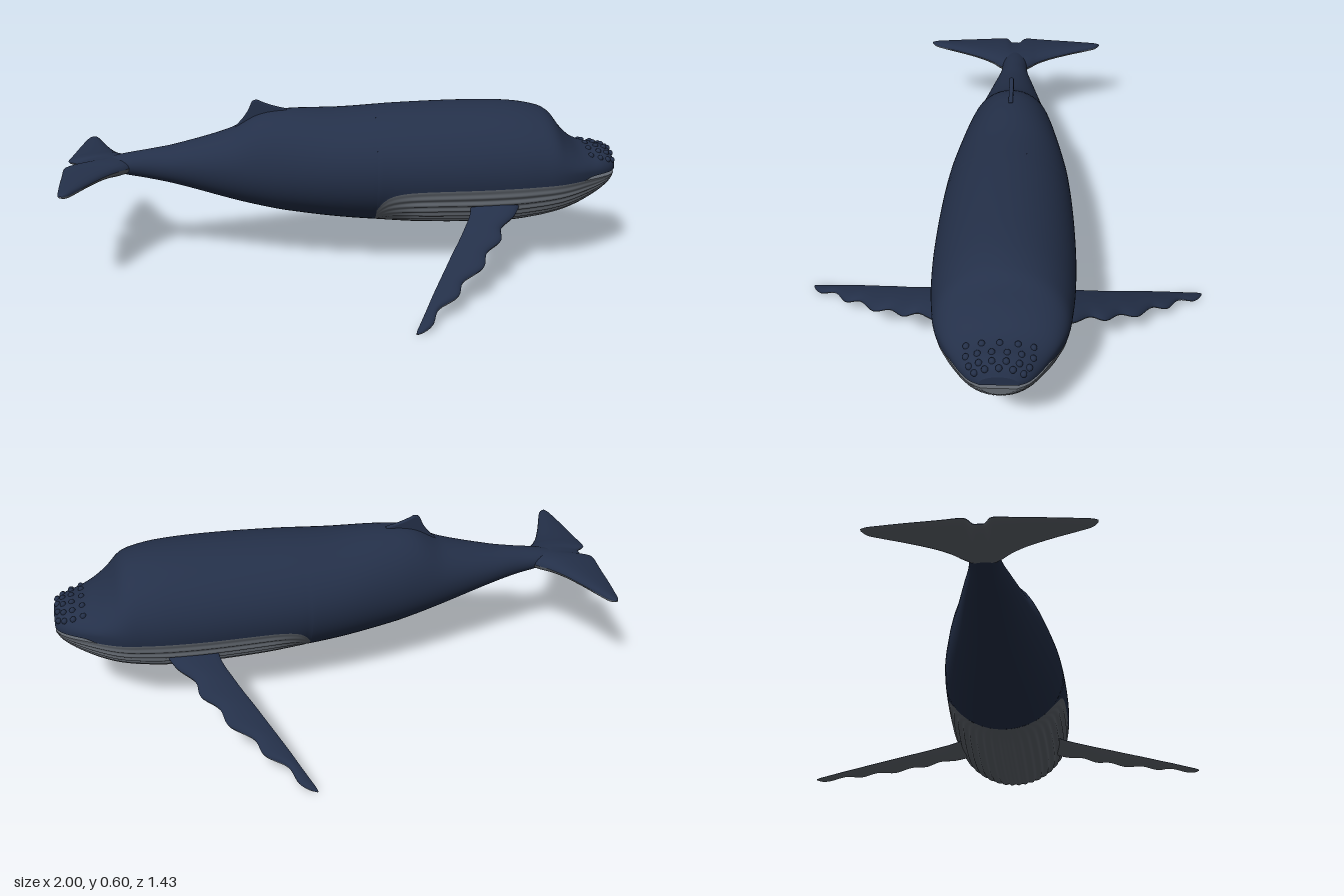
import * as THREE from 'three';

const navy = new THREE.MeshStandardMaterial({ color: 0x243049, side: THREE.DoubleSide });
navy.name = 'navy skin';
const grey = new THREE.MeshStandardMaterial({ color: 0x646a72, side: THREE.DoubleSide });
grey.name = 'pale grey skin';

// Smooth cubic lookup of column c in rows sorted by column 0
function curve(rows, c, x) {
  const n = rows.length;
  let i = 0;
  while (i < n - 2 && x > rows[i + 1][0]) i++;
  const slope = (k) => {
    const a = rows[Math.max(k - 1, 0)], b = rows[Math.min(k + 1, n - 1)];
    return (b[c] - a[c]) / (b[0] - a[0]);
  };
  const p = rows[i], q = rows[i + 1], h = q[0] - p[0];
  const t = Math.min(Math.max((x - p[0]) / h, 0), 1), t2 = t * t, t3 = t2 * t;
  return (2 * t3 - 3 * t2 + 1) * p[c] + (t3 - 2 * t2 + t) * h * slope(i)
    + (3 * t2 - 2 * t3) * q[c] + (t3 - t2) * h * slope(i + 1);
}

// Surface from a point rule over u, v in 0..1
function grid(nu, nv, rule, flip = false) {
  const pos = [], index = [];
  for (let i = 0; i <= nu; i++) {
    for (let j = 0; j <= nv; j++) pos.push(...rule(i / nu, j / nv));
  }
  for (let i = 0; i < nu; i++) {
    for (let j = 0; j < nv; j++) {
      const a = i * (nv + 1) + j, b = a + nv + 1;
      if (flip) index.push(a, b + 1, b, a, a + 1, b + 1);
      else index.push(a, b, b + 1, a, b + 1, a + 1);
    }
  }
  const g = new THREE.BufferGeometry();
  g.setAttribute('position', new THREE.Float32BufferAttribute(pos, 3));
  g.setIndex(index);
  g.computeVertexNormals();
  return g;
}

// Body stations: x, top, bottom, half width, height of widest point
const BODY = [
  [-0.95, 0.372, 0.362, 0.004, 0.367], [-0.87, 0.388, 0.355, 0.025, 0.37],
  [-0.8, 0.405, 0.335, 0.045, 0.37], [-0.7, 0.422, 0.315, 0.056, 0.37],
  [-0.6, 0.44, 0.293, 0.08, 0.37], [-0.4, 0.497, 0.235, 0.127, 0.37],
  [-0.3, 0.55, 0.21, 0.152, 0.37], [-0.2, 0.566, 0.19, 0.175, 0.37],
  [0, 0.568, 0.165, 0.212, 0.37], [0.2, 0.58, 0.151, 0.23, 0.37],
  [0.45, 0.588, 0.145, 0.239, 0.37], [0.62, 0.584, 0.149, 0.235, 0.37],
  [0.72, 0.566, 0.163, 0.225, 0.37], [0.76, 0.543, 0.172, 0.219, 0.37],
  [0.8, 0.492, 0.182, 0.207, 0.368], [0.85, 0.446, 0.2, 0.184, 0.365],
  [0.9, 0.426, 0.224, 0.154, 0.36], [0.95, 0.42, 0.255, 0.122, 0.357],
  [0.985, 0.405, 0.285, 0.09, 0.355], [1, 0.38, 0.305, 0.06, 0.353],
];
// Seam stations: x, lower edge of the upper skin, upper edge of the throat
const SEAM = [
  [0.12, 0.235, 0.235], [0.14, 0.273, 0.273], [0.17, 0.298, 0.298], [0.22, 0.312, 0.312],
  [0.3, 0.319, 0.319], [0.5, 0.325, 0.325], [0.86, 0.335, 0.335], [0.9, 0.345, 0.334], [1, 0.346, 0.332],
];

function bodyPoint(x, a, swell = 1) {
  const m = curve(BODY, 4, x), s = Math.sin(a);
  const h = s > 0 ? curve(BODY, 1, x) - m : m - curve(BODY, 2, x);
  return [x, m + h * s * swell, curve(BODY, 3, x) * Math.cos(a) * swell];
}

function seamAngle(x, column) {
  const m = curve(BODY, 4, x);
  return Math.asin(Math.max(-1, (curve(SEAM, column, x) - m) / (m - curve(BODY, 2, x))));
}

// Stations bunch up towards the snout
const headX = (u) => 0.12 + 0.88 * Math.sin(Math.min(u / 0.98, 1) * Math.PI / 2);
const closeNose = (u, p, column) => (u === 1 ? [1, curve(SEAM, column, 1), 0] : p);

// Thin blade; stations: span, leading x, trailing x, half thickness
function blade(name, stations, side, heightAt) {
  const group = new THREE.Group();
  group.name = name;
  const s0 = stations[0][0], s1 = stations[stations.length - 1][0];
  const skin = (up) => grid(60, 12, (u, v) => {
    const s = s0 + (s1 - s0) * u;
    const lead = curve(stations, 1, s), trail = curve(stations, 2, s);
    const c = (1 - Math.cos(v * Math.PI)) / 2;
    const t = curve(stations, 3, s) * Math.sqrt(c) * Math.sqrt(1 - c) * (0.6 + 0.8 * c) * 2;
    return [trail + (lead - trail) * c, heightAt(s) + up * t, side * s];
  }, up * side < 0);
  const top = new THREE.Mesh(skin(1), navy);
  top.name = name + 'Top';
  const under = new THREE.Mesh(skin(-1), grey);
  under.name = name + 'Underside';
  group.add(top, under);
  return group;
}

const FLIPPER = [
  [0.17, 0.64, 0.46, 0.02], [0.235, 0.605, 0.445, 0.018], [0.29, 0.55, 0.42, 0.016],
  [0.345, 0.54, 0.393, 0.015], [0.395, 0.485, 0.366, 0.014], [0.46, 0.462, 0.333, 0.013],
  [0.515, 0.388, 0.305, 0.012], [0.575, 0.362, 0.275, 0.011], [0.62, 0.295, 0.254, 0.009],
  [0.68, 0.268, 0.225, 0.008], [0.705, 0.24, 0.213, 0.006], [0.717, 0.215, 0.21, 0.002],
];
const FLUKE = [
  [0, -0.74, -0.965, 0.03], [0.018, -0.745, -0.966, 0.03], [0.035, -0.755, -0.995, 0.029],
  [0.06, -0.775, -1, 0.027], [0.09, -0.805, -0.997, 0.023], [0.14, -0.84, -0.992, 0.019],
  [0.22, -0.88, -0.985, 0.015], [0.3, -0.915, -0.976, 0.012], [0.34, -0.935, -0.97, 0.009],
  [0.356, -0.955, -0.963, 0.003],
];

export function createModel() {
  const whale = new THREE.Group();
  whale.name = 'whale';
  const add = (name, geometry, material) => {
    const mesh = new THREE.Mesh(geometry, material);
    mesh.name = name;
    whale.add(mesh);
    return mesh;
  };

  // Rear body and upper head
  add('rearBody', grid(60, 64, (u, v) => bodyPoint(-0.95 + 1.07 * u, (v * 2 - 0.5) * Math.PI)), navy);
  add('upperHead', grid(70, 64, (u, v) => {
    const x = headX(u), a = seamAngle(x, 1);
    return closeNose(u, bodyPoint(x, a + v * (Math.PI - 2 * a)), 1);
  }), navy);

  // Pleated throat, ridges fading out at its edges
  add('throat', grid(70, 152, (u, v) => {
    const x = headX(u), a = seamAngle(x, 2);
    const fade = Math.min(1, (x - 0.12) / 0.15) * Math.min(1, 12 * v, 12 * (1 - v));
    const swell = 1 + 0.016 * fade * Math.cos(v * 38 * Math.PI);
    return closeNose(u, bodyPoint(x, -Math.PI - a + v * (Math.PI + 2 * a), swell), 2);
  }), grey);

  // Inner faces of the open mouth
  [['palate', 1, navy], ['mouthFloor', 2, grey]].forEach(([name, column, material]) => {
    add(name, grid(16, 2, (u, v) => {
      const x = 0.86 + 0.14 * u;
      const p = bodyPoint(x, seamAngle(x, column));
      return [x, p[1], p[2] * (1 - 2 * v)];
    }, column === 1), material);
  });

  // Knobs in rows over the snout
  const knob = new THREE.SphereGeometry(0.011, 10, 8);
  for (const [x, count, spread] of [[0.9, 5, 0.75], [0.935, 6, 0.9], [0.965, 6, 1], [0.985, 5, 1]]) {
    for (let i = 0; i < count; i++) {
      const a = Math.PI / 2 + (i / (count - 1) - 0.5) * 2 * spread;
      add('snoutKnob', knob, navy).position.set(...bodyPoint(x, a, 0.98));
    }
  }

  // Small dorsal fin
  const fin = new THREE.Shape();
  fin.moveTo(-0.42, 0.47);
  fin.quadraticCurveTo(-0.34, 0.53, -0.322, 0.585);
  fin.quadraticCurveTo(-0.317, 0.602, -0.3, 0.598);
  fin.quadraticCurveTo(-0.26, 0.578, -0.2, 0.566);
  fin.lineTo(-0.2, 0.5);
  add('dorsalFin', new THREE.ExtrudeGeometry(fin, {
    depth: 0.006, bevelThickness: 0.005, bevelSize: 0.004, bevelSegments: 3, curveSegments: 10,
  }).translate(0, 0, -0.003), navy);

  // Paired flippers and tail flukes
  for (const side of [1, -1]) {
    const label = side > 0 ? 'front' : 'back';
    whale.add(blade(label + 'Flipper', FLIPPER, side, (s) => 0.01 + (0.715 - s) * 0.46));
    whale.add(blade(label + 'Fluke', FLUKE, side, () => 0.365));
  }
  return whale;
}
